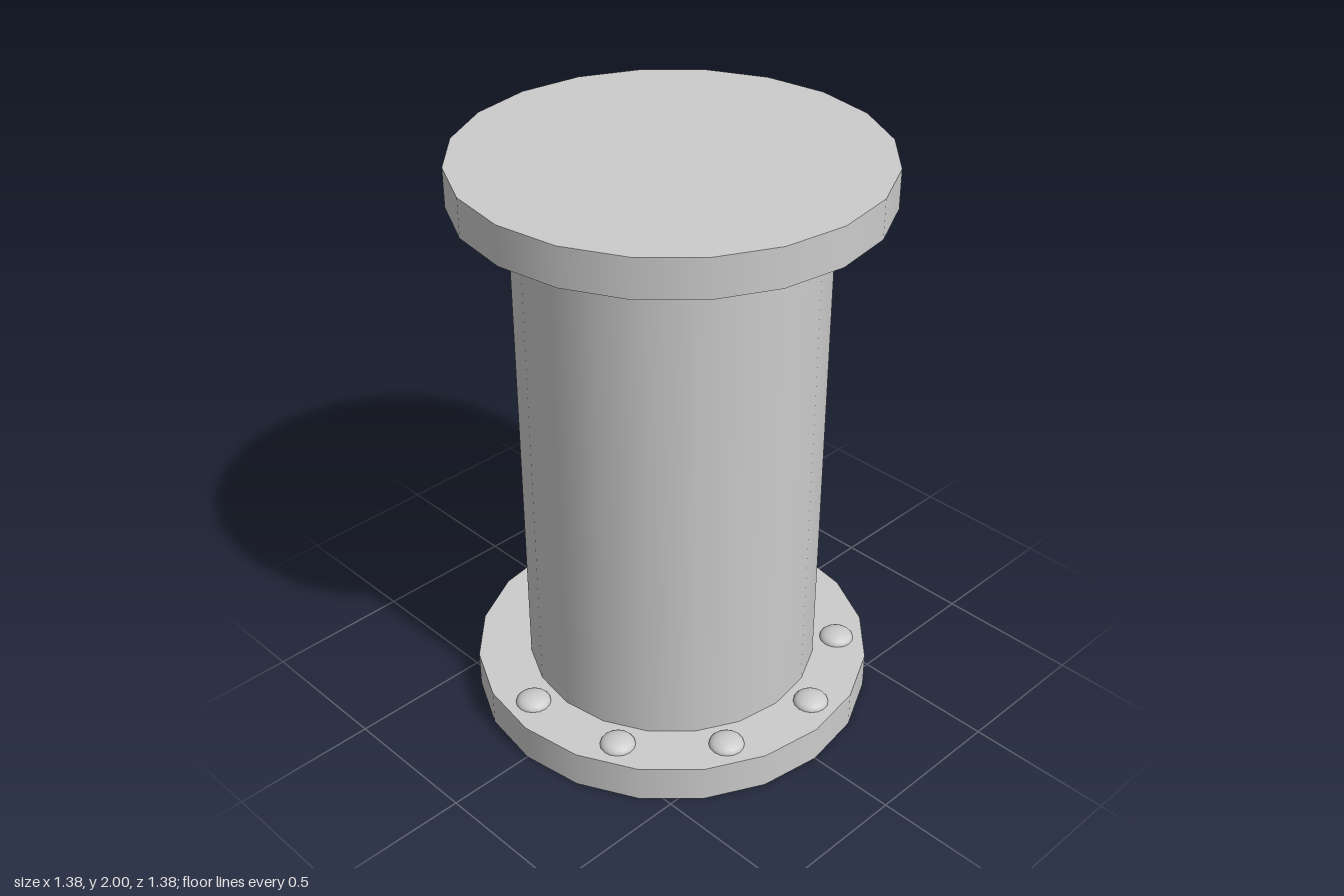
import * as THREE from 'three';

const FLANGE_R = 0.69, FLANGE_H = 0.13, HEIGHT = 2;
const BOLT_RING_R = 0.588, BOLT_R = 0.06, BOLT_H = 0.03;
const SIDES = 20;

export function createModel() {
  const model = new THREE.Group();
  model.name = 'flangedSpool';
  const material = new THREE.MeshStandardMaterial({ color: 0xcccccc });

  function add(parent, name, geometry) {
    const mesh = new THREE.Mesh(geometry, material);
    mesh.name = name;
    parent.add(mesh);
    return mesh;
  }

  // Central column, running between the flanges
  const columnGeo = new THREE.CylinderGeometry(0.505, 0.505, HEIGHT - 2 * FLANGE_H, SIDES, 1, true);
  add(model, 'column', columnGeo).position.y = HEIGHT / 2;

  const flangeGeo = new THREE.CylinderGeometry(FLANGE_R, FLANGE_R, FLANGE_H, SIDES);
  // Shallow domed bolt head
  const boltGeo = new THREE.SphereGeometry(BOLT_R, 16, 6, 0, Math.PI * 2, 0, Math.PI / 2);
  boltGeo.scale(1, BOLT_H / BOLT_R, 1);

  // Flange with seven bolts on its inner face; the back three places stay empty
  function makeEnd(name) {
    const end = new THREE.Group();
    end.name = name;
    add(end, 'flange', flangeGeo).position.y = FLANGE_H / 2;
    for (let i = 0; i < 7; i++) {
      const a = THREE.MathUtils.degToRad(-26.5 + i * 35.8);
      add(end, 'bolt', boltGeo).position.set(
        BOLT_RING_R * Math.cos(a), FLANGE_H, BOLT_RING_R * Math.sin(a));
    }
    model.add(end);
    return end;
  }

  makeEnd('bottomEnd');

  // The top end is the same piece turned over about the z axis
  const top = makeEnd('topEnd');
  top.rotation.z = Math.PI;
  top.position.y = HEIGHT;

  return model;
}
